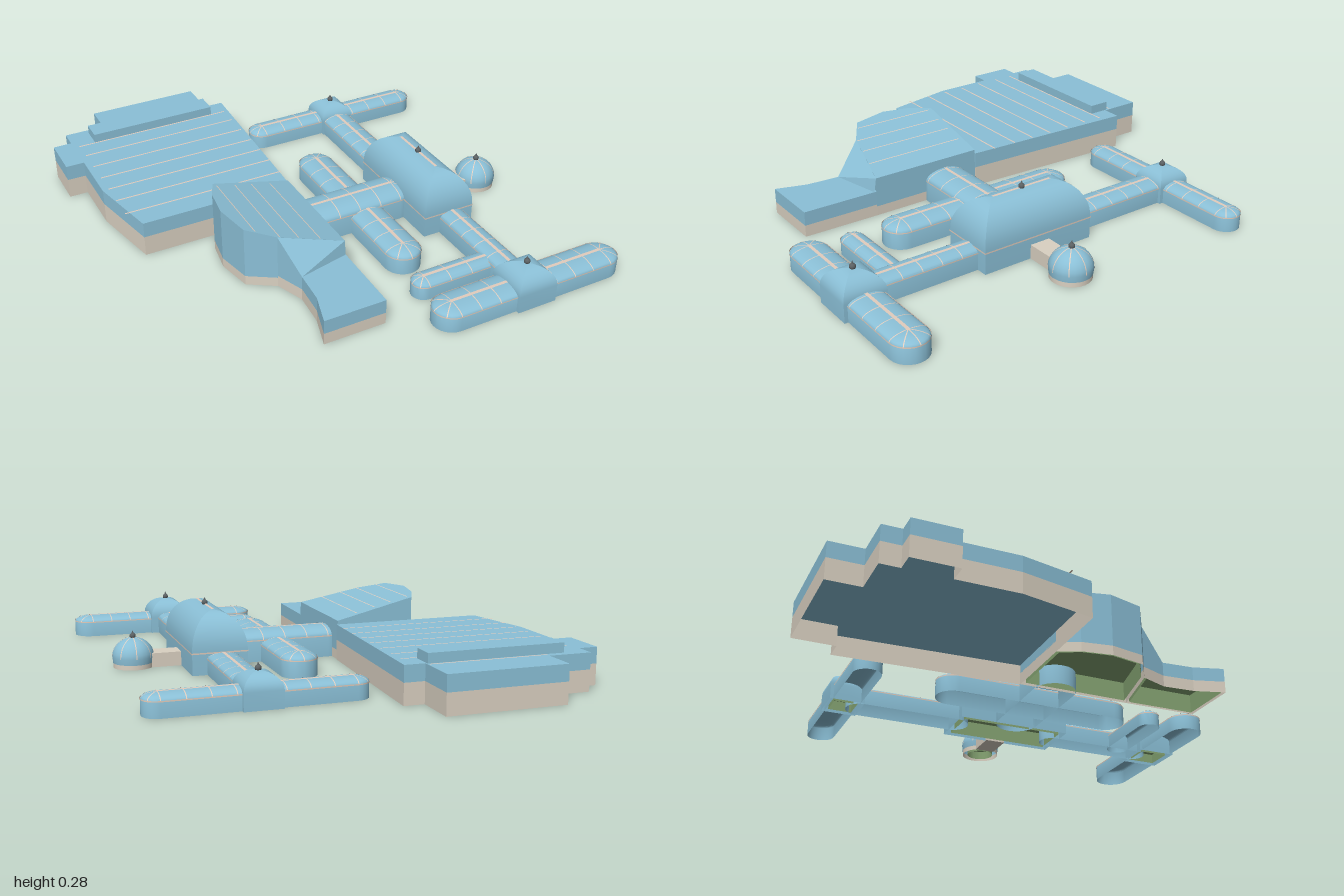
import * as THREE from 'three';
import { toCreasedNormals } from 'three/addons/utils/BufferGeometryUtils.js';

const mat = (name, color) => {
  const m = new THREE.MeshStandardMaterial({ color, side: THREE.DoubleSide });
  m.name = name;
  return m;
};

export function createModel() {
  const root = new THREE.Group();
  root.name = 'stationComplex';
  const blue = mat('roof blue', 0x8bc0d7);
  const beige = mat('wall beige', 0xdad1c2);
  const tan = mat('strip tan', 0xe2cdbd);
  const green = mat('foundation green', 0x86a573);
  const dark = mat('finial grey', 0x5c6264);

  const add = (name, geo, material, x = 0, y = 0, z = 0, parent = root) => {
    const m = new THREE.Mesh(geo, material);
    m.name = name;
    m.position.set(x, y, z);
    parent.add(m);
    return m;
  };
  const box = (name, material, x0, x1, y0, y1, z0, z1) =>
    add(name, new THREE.BoxGeometry(x1 - x0, y1 - y0, z1 - z0), material,
      (x0 + x1) / 2, (y0 + y1) / 2, (z0 + z1) / 2);
  // Flat strip lying on a roof
  const strip = (name, x0, x1, y, z0, z1, parent) =>
    add(name, new THREE.PlaneGeometry(x1 - x0, z1 - z0).rotateX(-Math.PI / 2), tan,
      (x0 + x1) / 2, y, (z0 + z1) / 2, parent);

  // Skin between rows of [x, y, z] points
  const loft = (rows, closed = true, crease = 0.55) => {
    const n = rows[0].length, index = [];
    for (let i = 0; i < rows.length - 1; i++) {
      for (let j = 0; j < (closed ? n : n - 1); j++) {
        const a = i * n + j, b = i * n + (j + 1) % n;
        index.push(a, b, a + n, b, b + n, a + n);
      }
    }
    const g = new THREE.BufferGeometry();
    g.setAttribute('position', new THREE.Float32BufferAttribute(rows.flat(2), 3));
    g.setIndex(index);
    return toCreasedNormals(g, crease);
  };

  // Plans of a rectangle or a round-ended bar, inset by d (long side along z)
  const rectPlan = (hw, hl) => d => [[hw - d, hl - d], [hw - d, d - hl], [d - hw, d - hl], [d - hw, hl - d]];
  const barPlan = (r, hl) => d => {
    const pts = [];
    for (let k = 0; k < 26; k++) {
      const end = k < 13 ? -1 : 1;
      const a = (k < 13 ? k : k - 1) * Math.PI / 12;
      pts.push([(r - d) * Math.cos(a), end * (hl - r) - (r - d) * Math.sin(a)]);
    }
    return pts;
  };
  const level = (pts, y) => pts.map(([x, z]) => [x, y, z]);

  // Upright wall followed by an elliptical vault
  const vaultRows = (plan, r, wall, rise) => {
    const rows = [level(plan(0), 0)];
    for (let k = 0; k <= 8; k++) {
      const t = k / 8 * Math.PI / 2;
      rows.push(level(plan(r * (1 - Math.cos(t))), wall + rise * Math.sin(t)));
    }
    return rows;
  };
  const band = (plan, y, h) => loft([level(plan(-0.002), y), level(plan(-0.002), y + h)]);

  // Thin ribbon following the vault, over the given angle
  const arc = (r, wall, rise, angle) => {
    const rows = [[], []];
    for (let k = 0; k <= 12; k++) {
      const a = k / 12 * angle;
      const x = (r + 0.0015) * Math.cos(a), y = wall + (rise + 0.0015) * Math.sin(a);
      rows[0].push([x, y, -0.002]);
      rows[1].push([x, y, 0.002]);
    }
    return loft(rows, false);
  };

  // Solid prism from an [x, z] outline
  const prism = (pts, y0, y1) => {
    const s = new THREE.Shape(pts.map(([x, z]) => new THREE.Vector2(x, -z)));
    return new THREE.ExtrudeGeometry(s, { depth: y1 - y0, bevelEnabled: false })
      .rotateX(-Math.PI / 2).translate(0, y0, 0);
  };

  // Foundation pit: upright walls closed by a ceiling, open below
  const pit = (pts, h) => {
    const c = [0, 1].map(i => pts.reduce((a, q) => a + q[i], 0) / pts.length);
    return loft([level(pts, 0.002), level(pts, h), level(pts.map(() => c), h)], true, 0.2);
  };

  // Round-ended vaulted wing with ridge strip, wall band and ribs
  const wing = (name, x0, x1, z0, z1, top, rise) => {
    const g = new THREE.Group();
    g.name = name;
    const alongX = x1 - x0 > z1 - z0;
    const r = Math.min(x1 - x0, z1 - z0) / 2, hl = Math.max(x1 - x0, z1 - z0) / 2;
    const wall = top - rise, plan = barPlan(r, hl);
    add('vault', loft(vaultRows(plan, r, wall, rise)), blue, 0, 0, 0, g);
    add('wallBand', band(plan, wall, 0.005), tan, 0, 0, 0, g);
    strip('ridgeStrip', -0.007, 0.007, top + 0.002, r - hl, hl - r, g);
    const count = Math.max(2, Math.round((hl - r) * 2 / 0.09));
    for (let i = 0; i <= count; i++)
      add('rib', arc(r, wall, rise, Math.PI), tan, 0, 0, (hl - r) * (2 * i / count - 1), g);
    for (const end of [-1, 1]) {
      for (const turn of [-1, 0, 1])
        add('endRib', arc(r, wall, rise, Math.PI / 2), tan, 0, 0, end * (hl - r), g)
          .rotation.y = -end * Math.PI / 2 + turn * Math.PI / 4;
    }
    g.position.set((x0 + x1) / 2, 0, (z0 + z1) / 2);
    if (alongX) g.rotation.y = Math.PI / 2;
    root.add(g);
  };

  const finial = (x, y, z) => {
    add('finialBall', new THREE.SphereGeometry(0.013, 10, 8), dark, x, y + 0.006, z);
    add('finialTip', new THREE.ConeGeometry(0.008, 0.018, 8), dark, x, y + 0.021, z);
  };

  // Hipped dome on a rectangular plan, each side a separate curved face
  const dome = (name, x0, x1, z0, z1, wall, rise, depth) => {
    const hw = (x1 - x0) / 2, hl = (z1 - z0) / 2, r = Math.min(hw, hl);
    const x = (x0 + x1) / 2, z = (z0 + z1) / 2, plan = rectPlan(hw, hl), top = wall + rise;
    const rows = vaultRows(plan, r, wall, rise);
    for (let k = 0; k < 4; k++)
      add(name + 'Side', loft(rows.map(row => [row[k], row[(k + 1) % 4]]), false), blue, x, 0, z);
    add(name + 'Foundation', pit(plan(0.026), depth), green, x, 0, z);
    if (hl - r > 0.05) strip(name + 'Ridge', x - 0.006, x + 0.006, top + 0.002, z - hl + r, z + hl - r);
    finial(x, top, z);
  };

  dome('mainDome', 0.325, 0.56, -0.115, 0.402, 0.1, 0.15, 0.07);
  add('mainDomeBand', band(rectPlan(0.1175, 0.2585), 0.088, 0.006), tan, 0.4425, 0, 0.1435);
  dome('northDome', 0.355, 0.51, -0.71, -0.555, 0.07, 0.065, 0.045);
  dome('southDome', 0.37, 0.545, 0.82, 1, 0.075, 0.08, 0.045);

  // Wings and corridors
  wing('northWing', 0, 0.868, -0.695, -0.572, 0.085, 0.025);
  wing('southWing', 0.04, 0.9, 0.832, 0.985, 0.09, 0.025);
  wing('southSideWing', 0.065, 0.46, 0.667, 0.768, 0.08, 0.025);
  wing('crossWing', 0.065, 0.22, -0.305, 0.593, 0.1, 0.03);
  wing('mainCorridor', -0.18, 0.4, 0.05, 0.237, 0.13, 0.04);
  wing('northCorridor', 0.362, 0.497, -0.62, -0.05, 0.09, 0.025);
  wing('southCorridor', 0.4, 0.512, 0.33, 0.88, 0.095, 0.025);

  // Small round dome and its link
  const ball = [[0.085, 0.02], [0.088, 0.045]];
  for (let k = 1; k <= 8; k++) {
    const t = k / 8 * Math.PI / 2;
    ball.push([0.088 * Math.cos(t), 0.045 + 0.08 * Math.sin(t)]);
  }
  const lathe = pts => new THREE.LatheGeometry(pts.map(p => new THREE.Vector2(...p)), 24);
  add('roundDome', lathe(ball), blue, 0.755, 0, 0.145);
  add('roundDomeBase', lathe([[0.084, 0], [0.084, 0.022]]), beige, 0.755, 0, 0.145);
  add('roundDomeFoundation', pit(barPlan(0.06, 0.06)(0), 0.04), green, 0.755, 0, 0.145);
  for (let k = 0; k < 4; k++)
    add('roundDomeRib', arc(0.088, 0.045, 0.08, Math.PI), tan, 0.755, 0, 0.145).rotation.y = k * Math.PI / 4;
  finial(0.755, 0.125, 0.145);
  box('link', beige, 0.55, 0.685, 0, 0.06, 0.095, 0.185);

  // Large hall: open walls below a blue roof slab
  const hall = [[-0.645, -1], [-0.15, -1], [-0.15, -0.82], [-0.065, -0.82], [-0.1, -0.02], [-0.76, -0.02],
    [-0.825, -0.33], [-0.825, -0.59], [-0.905, -0.59], [-0.905, -0.78], [-0.825, -0.78], [-0.825, -0.86], [-0.645, -0.86]];
  add('hallWalls', loft([level(hall, 0), level(hall, 0.088)], true, 0.1), beige);
  add('hallRoof', prism(hall, 0.088, 0.155), blue);
  box('hallRooftop', blue, -0.725, -0.155, 0.15, 0.195, -0.83, -0.735);
  strip('hallRooftopStrip', -0.64, -0.155, 0.157, -0.85, -0.842);
  [-0.73, -0.64, -0.535, -0.43, -0.33, -0.23, -0.12].forEach(z =>
    strip('hallRoofStrip', -0.8, -0.09, 0.157, z - 0.0035, z + 0.0035));

  // Wedge building with a sloping roof
  const roofY = x => 0.27 - (x + 0.51) * 0.245;
  const wedge = [[-0.45, -0.02], [-0.49, 0.07], [-0.51, 0.2], [-0.48, 0.35], [-0.37, 0.42], [-0.105, 0.48], [-0.105, -0.02]];
  const wedgeGeo = prism(wedge, 0.1, 1), p = wedgeGeo.attributes.position;
  for (let i = 0; i < p.count; i++) if (p.getY(i) > 0.5) p.setY(i, roofY(p.getX(i)));
  wedgeGeo.computeVertexNormals();
  add('wedgeBuilding', wedgeGeo, blue);
  [[-0.44, 0.37], [-0.36, 0.42], [-0.285, 0.435], [-0.2, 0.455]].forEach(([x, z1]) => {
    strip('wedgeRoofStrip', x - 0.002, x + 0.002, roofY(x) + 0.002, 0, z1).rotation.z = -Math.atan(0.245);
  });

  // Low annex in front of the wedge, with a slanted joining face
  const annex = [[-0.37, 0.42], [-0.325, 0.54], [-0.335, 0.68], [-0.375, 0.812], [-0.11, 0.812], [-0.105, 0.48]];
  add('annexRoof', prism(annex, 0.1, 0.11), blue);
  const A = [-0.37, 0.235, 0.42], B = [-0.325, 0.11, 0.54], C = [-0.105, 0.11, 0.49], D = [-0.105, 0.17, 0.48], E = [-0.37, 0.11, 0.42];
  const slant = new THREE.BufferGeometry();
  slant.setAttribute('position', new THREE.Float32BufferAttribute([A, B, D, B, C, D, A, E, B].flat(), 3));
  slant.computeVertexNormals();
  add('slantedFace', slant, blue);

  // Two-tone lower walls and foundation pits under wedge and annex
  const shrink = (pts, s) => {
    const [cx, cz] = [0, 1].map(i => pts.reduce((a, q) => a + q[i], 0) / pts.length);
    return pts.map(([x, z]) => [cx + (x - cx) * s, cz + (z - cz) * s]);
  };
  [['wedge', wedge, 0.041], ['annex', annex, 0.05]].forEach(([name, pts, y]) => {
    add(name + 'Base', loft([level(pts, 0), level(pts, y)], true, 0.1), beige);
    add(name + 'Walls', loft([level(pts, y), level(pts, 0.1)], true, 0.1), blue);
    add(name + 'Foundation', pit(shrink(pts, 0.93), 0.085), green);
  });
  return root;
}
